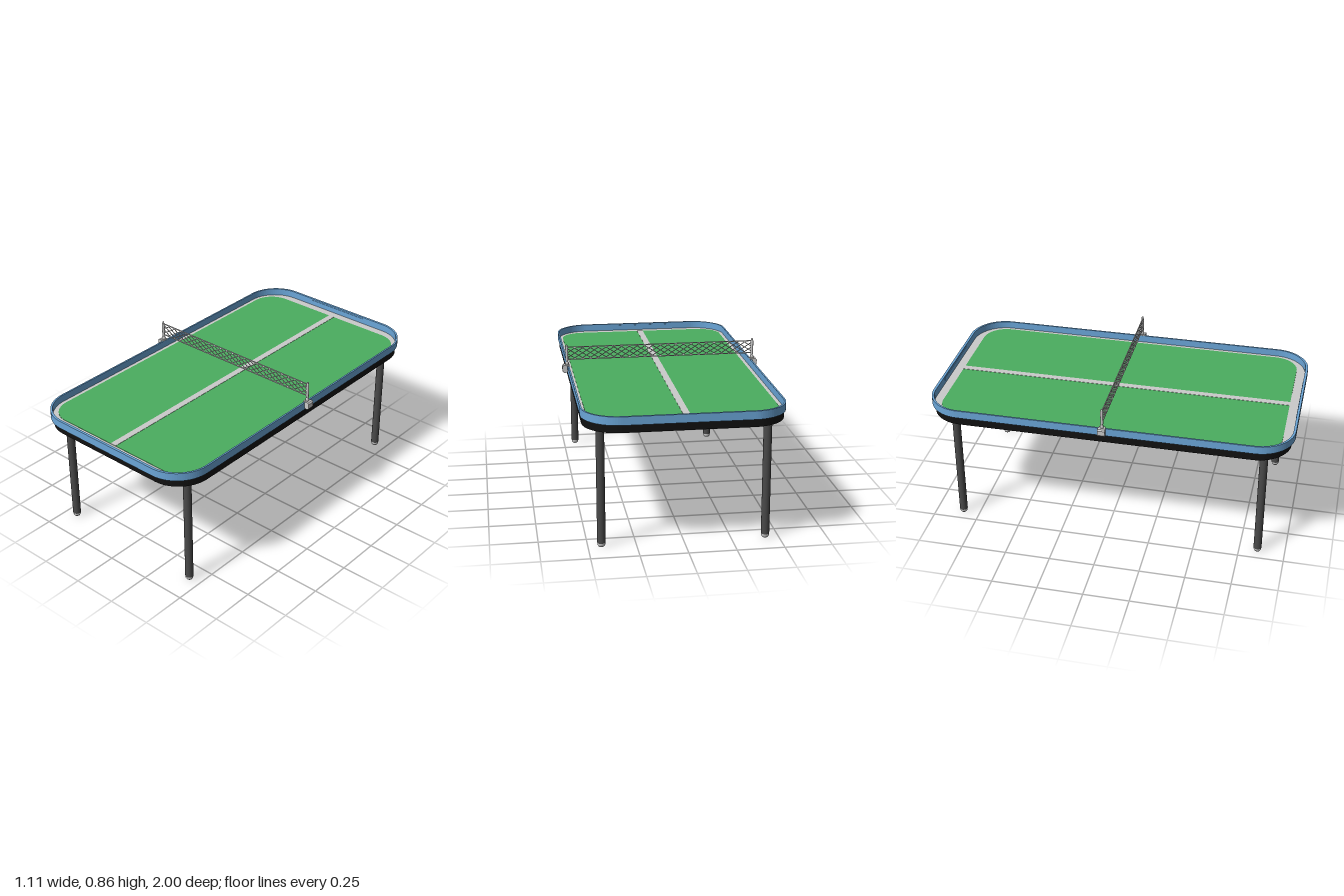
import * as THREE from 'three';
import { mergeGeometries } from 'three/addons/utils/BufferGeometryUtils.js';

const mat = (color, side = THREE.FrontSide) => new THREE.MeshStandardMaterial({ color, side });
const GREY = mat(0xcccccc);
const GREEN = mat(0x4bae5f);
const BLUE = mat(0x6ba6d8);
const BLACK = mat(0x111111);
const DARK = mat(0x4a4a4a);

// Rounded rectangle in plan, given by half sizes and corner radius
function outline(Kind, hx, hz, r) {
  const s = new Kind();
  s.moveTo(hx, -hz + r);
  s.lineTo(hx, hz - r);
  s.absarc(hx - r, hz - r, r, 0, Math.PI / 2);
  s.absarc(-hx + r, hz - r, r, Math.PI / 2, Math.PI);
  s.absarc(-hx + r, -hz + r, r, Math.PI, Math.PI * 1.5);
  s.absarc(hx - r, -hz + r, r, Math.PI * 1.5, Math.PI * 2);
  return s;
}

// Lying slab from y0 to y1
function slab(shape, y0, y1) {
  const g = new THREE.ExtrudeGeometry(shape, { depth: y1 - y0, bevelEnabled: false, curveSegments: 12 });
  return g.rotateX(-Math.PI / 2).translate(0, y0, 0);
}

function box(w, h, d, x, y, z) {
  return new THREE.BoxGeometry(w, h, d).translate(x, y, z);
}

export function createModel() {
  const root = new THREE.Group();
  const add = (name, geometry, material, parent = root) => {
    const m = new THREE.Mesh(geometry, material);
    m.name = name;
    parent.add(m);
    return m;
  };

  // Table top: black edge with green underside, grey border, green field, centre line
  add('baseSlab', slab(outline(THREE.Shape, 0.518, 0.982, 0.185), 0.65, 0.694), [GREEN, BLACK]);
  add('border', slab(outline(THREE.Shape, 0.516, 0.984, 0.18), 0.694, 0.698), GREY);
  add('playField', slab(outline(THREE.Shape, 0.495, 0.935, 0.13), 0.698, 0.7), GREEN);
  add('centreLine', box(0.036, 0.002, 1.87, -0.005, 0.7005, 0), GREY);

  // Raised blue rim
  const rim = outline(THREE.Shape, 0.525, 1.0, 0.195);
  rim.holes.push(outline(THREE.Path, 0.516, 0.986, 0.182));
  add('rim', slab(rim, 0.694, 0.738), BLUE);
  for (const s of [-1, 1]) {
    add('rimPanel', box(0.38, 0.018, 0.003, 0, 0.72, s * 0.9855), BLUE);
  }

  // Legs with tapered feet
  for (const x of [-0.43, 0.43]) {
    for (const z of [-0.845, 0.85]) {
      const leg = new THREE.Group();
      leg.name = 'leg';
      leg.position.set(x, 0, z);
      root.add(leg);
      add('legTube', new THREE.CylinderGeometry(0.022, 0.022, 0.635, 20).translate(0, 0.3375, 0), DARK, leg);
      const foot = [[0, 0], [0.015, 0], [0.019, 0.006], [0.021, 0.013], [0.021, 0.022]]
        .map(([a, b]) => new THREE.Vector2(a, b));
      add('foot', new THREE.LatheGeometry(foot, 20), GREY, leg);
    }
  }

  // Net posts and their clamps
  const c = new THREE.Shape();
  [[-0.014, -0.013], [-0.008, -0.021], [0.008, -0.021], [0.014, -0.013],
    [0.014, 0.013], [0.008, 0.021], [-0.008, 0.021], [-0.014, 0.013]]
    .forEach(([x, y], i) => (i ? c.lineTo(x, y) : c.moveTo(x, y)));
  for (const s of [-1, 1]) {
    const post = new THREE.Group();
    post.name = 'netPost';
    post.position.x = s * 0.528;
    root.add(post);
    const clamp = new THREE.ExtrudeGeometry(c, { depth: 0.04, bevelEnabled: false });
    add('clamp', clamp.translate(s * 0.012, 0.724, -0.02), GREY, post);
    add('clampPlate', box(0.022, 0.006, 0.034, -s * 0.002, 0.742, 0), GREY, post);
    const profile = [[0, 0.742], [0.01, 0.742], [0.01, 0.757], [0.006, 0.76], [0.006, 0.766],
      [0.008, 0.77], [0.008, 0.845], [0.005, 0.849], [0.006, 0.852], [0.005, 0.858], [0, 0.858]]
      .map(([a, b]) => new THREE.Vector2(a, b));
    add('postTube', new THREE.LatheGeometry(profile, 12), GREY, post);
  }

  // Net: top and bottom cords plus crossed strands clipped to the net's width
  const net = new THREE.Group();
  net.name = 'net';
  root.add(net);
  const half = 0.523, low = 0.775, high = 0.845;
  for (const y of [low, high]) add('cord', box(2 * half, 0.005, 0.005, 0, y, 0), GREY, net);
  const strands = [];
  const run = 0.11, pitch = 0.044;
  for (const dir of [-1, 1]) {
    for (let i = -14; i <= 14; i++) {
      const mid = i * pitch;
      const x0 = Math.max(-half, mid - run / 2), x1 = Math.min(half, mid + run / 2);
      if (x1 - x0 < 0.005) continue;
      const yAt = (x) => (low + high) / 2 + dir * (x - mid) * (high - low) / run;
      const dx = x1 - x0, dy = yAt(x1) - yAt(x0);
      strands.push(new THREE.BoxGeometry(Math.hypot(dx, dy), 0.004, 0.003)
        .rotateZ(Math.atan2(dy, dx))
        .translate((x0 + x1) / 2, (yAt(x0) + yAt(x1)) / 2, dir * 0.001));
    }
  }
  add('netMesh', mergeGeometries(strands), GREY, net);

  return root;
}
